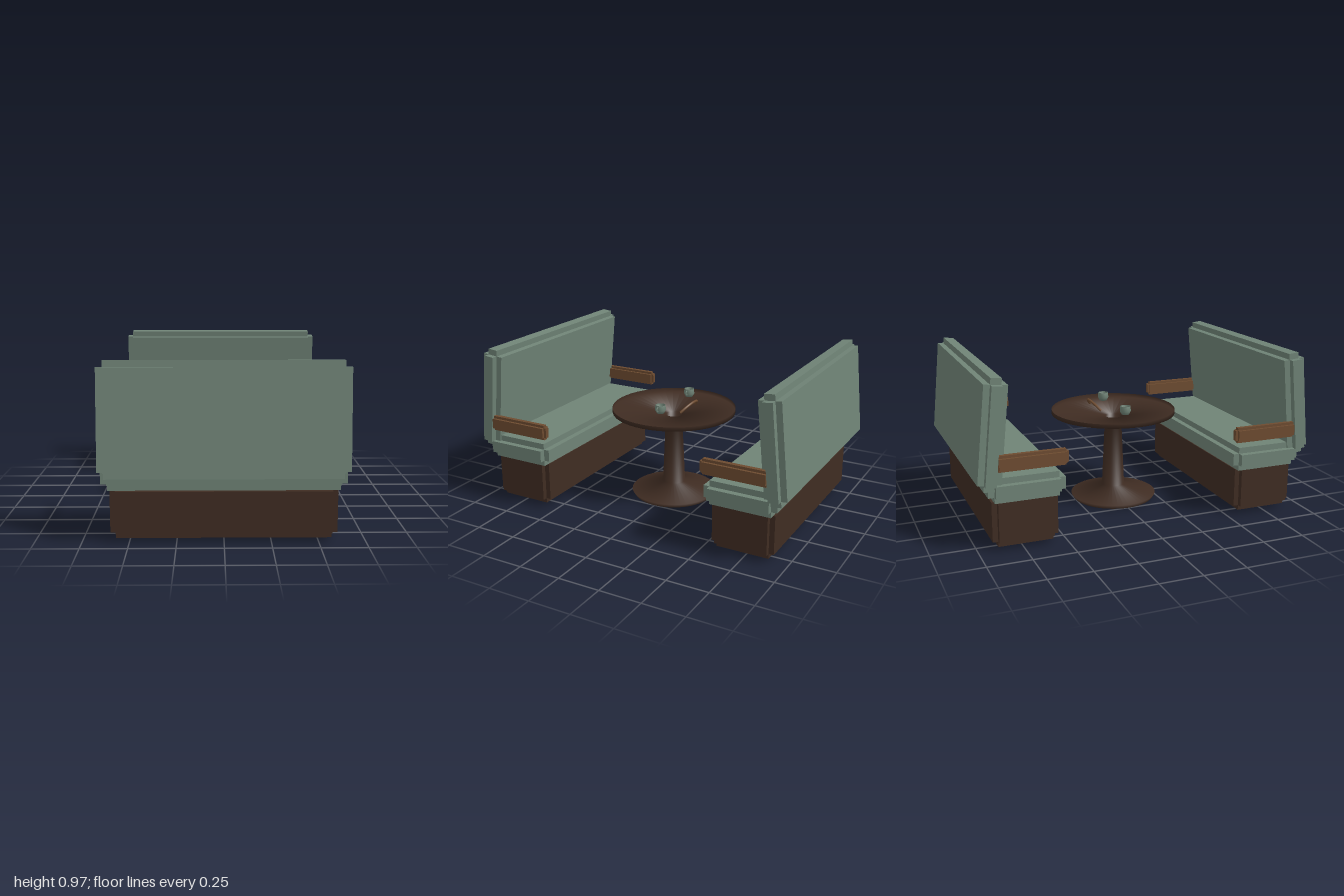
import * as THREE from 'three';

const paint = (name, color, side = THREE.FrontSide) => {
  const m = new THREE.MeshStandardMaterial({ color, side });
  m.name = name;
  return m;
};

export function createModel() {
  const green = paint('sage upholstery', 0x6f8376, THREE.DoubleSide);
  const dark = paint('dark walnut', 0x3f2c22, THREE.DoubleSide);
  const wood = paint('warm wood', 0x6d4b30);

  const add = (parent, name, geometry, material, x = 0, y = 0, z = 0) => {
    const mesh = new THREE.Mesh(geometry, material);
    mesh.name = name;
    mesh.position.set(x, y, z);
    parent.add(mesh);
    return mesh;
  };

  // Block with stepped edges: three crossing boxes, each full size along one axis
  const steppedBlock = (parent, name, material, [w, h, d], step, [x, y, z]) => {
    const block = new THREE.Group();
    block.name = name;
    block.position.set(x, y, z);
    const s = step * 2;
    add(block, name + 'Width', new THREE.BoxGeometry(w, h - s, d - s), material);
    add(block, name + 'Height', new THREE.BoxGeometry(w - s, h, d - s), material);
    add(block, name + 'Depth', new THREE.BoxGeometry(w - s, h - s, d), material);
    parent.add(block);
    return block;
  };

  const lathe = (points, segments) =>
    new THREE.LatheGeometry(points.map(([r, y]) => new THREE.Vector2(r, y)), segments);

  const model = new THREE.Group();
  model.name = 'diningBooth';

  // Two facing benches
  for (const [name, turn] of [['frontBench', 0], ['backBench', Math.PI]]) {
    const bench = new THREE.Group();
    bench.name = name;
    bench.rotation.y = turn;
    steppedBlock(bench, 'benchBase', dark, [1.2, 0.29, 0.37], 0.03, [0, 0.165, 0.735]);
    steppedBlock(bench, 'seat', green, [1.29, 0.14, 0.43], 0.035, [0, 0.354, 0.73]);
    const back = steppedBlock(bench, 'backrest', green, [1.31, 0.61, 0.13], 0.035, [0, 0.66, 0.91]);
    back.rotation.x = -0.1;
    for (const side of [-1, 1]) {
      steppedBlock(bench, side > 0 ? 'leftArmrest' : 'rightArmrest', wood,
        [0.055, 0.09, 0.4], 0.015, [side * 0.6275, 0.51, 0.705]);
    }
    model.add(bench);
  }

  // Pedestal table: one hollow turned shell with a dished top
  add(model, 'pedestalTable', lathe([
    [0.25, 0], [0.265, 0.025], [0.07, 0.08], [0.05, 0.52], [0.38, 0.545], [0.38, 0.57],
  ], 48), dark);

  // Cups with small handles
  for (const x of [-0.2, 0.17]) {
    const cup = new THREE.Group();
    cup.name = 'cup';
    cup.position.set(x, 0.58, 0);
    add(cup, 'cupBody', lathe([
      [0.001, 0], [0.023, 0], [0.033, 0.02], [0.031, 0.05], [0.027, 0.05], [0.025, 0.012], [0.001, 0.01],
    ], 20), green);
    add(cup, 'cupHandle', new THREE.TorusGeometry(0.013, 0.004, 6, 12), green, 0.033, 0.028, 0);
    model.add(cup);
  }

  // Small tilted wooden arch on the table
  const arc = 2.15;
  const ring = new THREE.TorusGeometry(0.113, 0.008, 8, 24, arc);
  ring.rotateZ((Math.PI - arc) / 2);
  ring.translate(0, -0.113, 0);
  const arch = add(model, 'tableArch', ring, wood, 0.02, 0.628, -0.147);
  arch.rotation.x = -0.7;

  return model;
}
